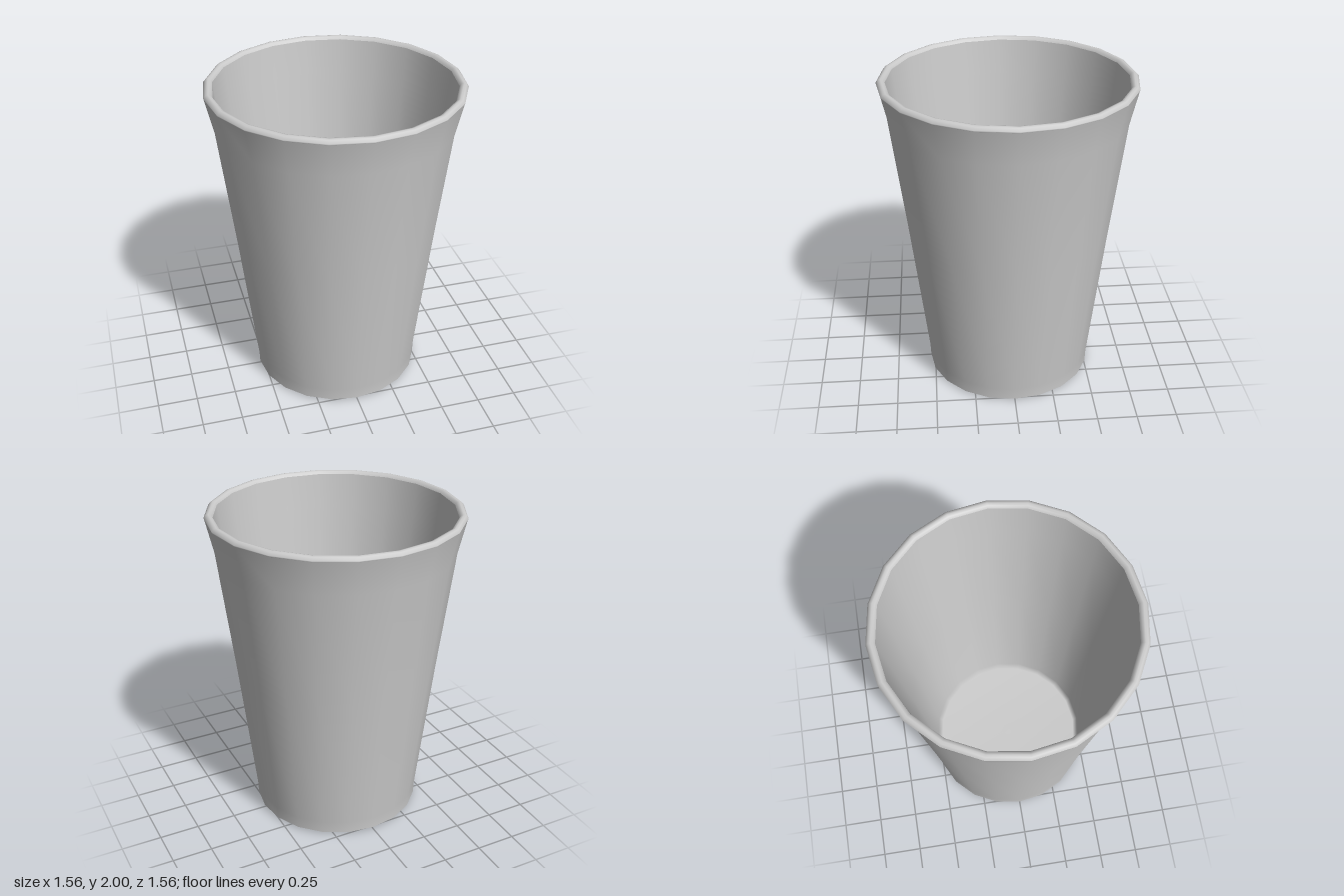
import * as THREE from 'three';

const SIDES = 20;

export function createModel() {
  const cup = new THREE.Group();
  cup.name = 'cup';
  const material = new THREE.MeshStandardMaterial({ color: 0xcccccc });

  // Each part turns a [radius, height] profile; separate parts keep crisp edges.
  const addTurned = (name, profile) => {
    const points = profile.map(([r, y]) => new THREE.Vector2(r, y));
    const mesh = new THREE.Mesh(new THREE.LatheGeometry(points, SIDES), material);
    mesh.name = name;
    cup.add(mesh);
  };

  // Underside, very slightly bowed
  addTurned('base', [[0, 0], [0.45, 0.004], [0.53, 0.012]]);

  // Straight foot, tapered body and flare below the rim
  addTurned('outerWall', [
    [0.53, 0.012], [0.533, 0.09], [0.635, 1], [0.727, 1.76], [0.775, 1.972],
  ]);

  // Bevelled lip
  addTurned('rim', [[0.775, 1.972], [0.778, 1.98], [0.764, 1.996], [0.75, 2], [0.735, 1.996], [0.725, 1.98]]);

  // Inside of the cup, running from the lip down to the floor
  addTurned('innerWall', [
    [0.725, 1.98], [0.7, 1.76], [0.608, 1], [0.508, 0.1], [0.48, 0.07],  [0, 0.07],
  ]);

  return cup;
}
